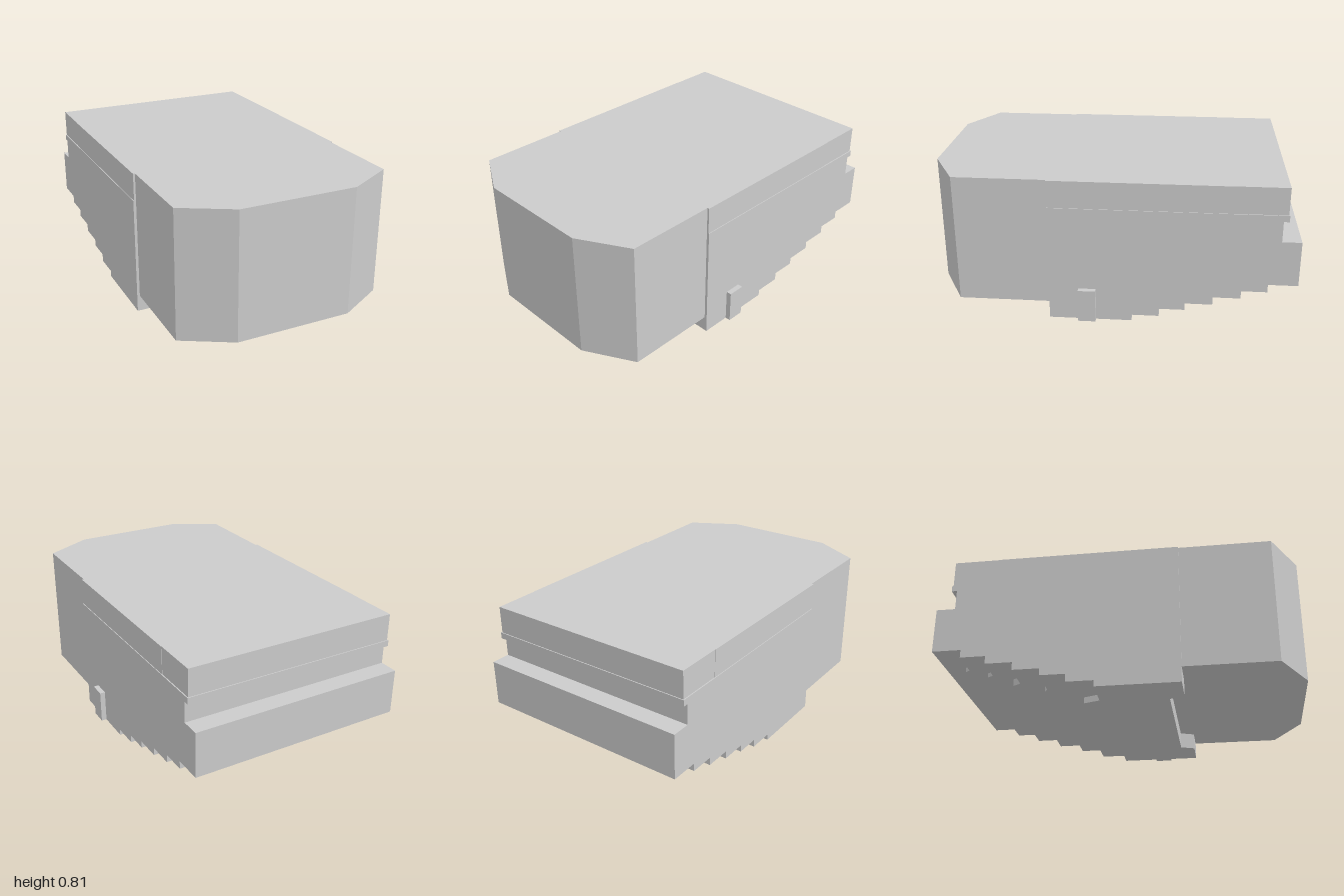
import * as THREE from 'three';

const material = new THREE.MeshStandardMaterial({ color: 0xcccccc, flatShading: true });

export function createModel() {
  const group = new THREE.Group();
  const LEFT = 0.6, RIGHT = -0.63;

  const add = (name, geometry) => {
    const mesh = new THREE.Mesh(geometry, material);
    mesh.name = name;
    group.add(mesh);
    return mesh;
  };
  const outline = (points) => new THREE.Shape(points.map(([a, b]) => new THREE.Vector2(a, b)));

  // Floor-plan outline [x, z] raised from y0 to y1
  const plate = (name, points, y0, y1) => {
    const g = new THREE.ExtrudeGeometry(outline(points.map(([x, z]) => [x, -z])), { depth: y1 - y0, bevelEnabled: false });
    g.rotateX(-Math.PI / 2).translate(0, y0, 0);
    return add(name, g);
  };
  // Side outline [z, y] run across the width
  const profile = (name, points, x0, x1) => {
    const g = new THREE.ExtrudeGeometry(outline(points), { depth: x1 - x0, bevelEnabled: false });
    g.rotateY(-Math.PI / 2).translate(x1, 0, 0);
    return add(name, g);
  };
  const box = (name, x0, x1, y0, y1, z0, z1) => {
    const g = new THREE.BoxGeometry(x1 - x0, y1 - y0, z1 - z0);
    g.translate((x0 + x1) / 2, (y0 + y1) / 2, (z0 + z1) / 2);
    return add(name, g);
  };

  // Front block with cut corners
  plate('frontBlock', [
    [-0.615, 0.2], [-0.615, 0.85], [-0.345, 1], [0.31, 1], [0.585, 0.85], [0.585, 0.2],
  ], 0.092, 0.812);

  // Main body with the rear ledge and groove
  profile('mainBody', [
    [0.345, 0.255], [0.345, 0.66], [-0.925, 0.66], [-0.925, 0.625],
    [-0.895, 0.625], [-0.895, 0.51], [-1, 0.51], [-1, 0.255],
  ], RIGHT, LEFT);

  // Slightly inset upper band, split by a shallow upright seam
  box('upperBand', RIGHT + 0.004, LEFT - 0.004, 0.66, 0.812, -0.66, 0.345);
  box('upperRearBand', RIGHT + 0.006, LEFT - 0.006, 0.66, 0.812, -0.92, -0.66);

  // Stepped underside: [bottom, top, rear z, tongue rear z, tongue bottom]
  const steps = [
    [0, 0.035, -0.11, -0.2, 0],
    [0.035, 0.08, -0.26, -0.26, 0.035],
    [0.08, 0.12, -0.4, -0.42, 0.08],
    [0.12, 0.165, -0.55, -0.6, 0.125],
    [0.165, 0.21, -0.7, -0.75, 0.185],
    [0.21, 0.255, -0.84, -0.88, 0.225],
  ];
  steps.forEach(([y0, y1, rear, tongueRear, tongueBottom], i) => {
    // The lowest steps have a recessed front edge
    const recess = i < 3 ? [[-0.44, 0.345], [-0.41, 0.265], [0.38, 0.265], [0.41, 0.345]] : [];
    plate('step' + (i + 1), [
      [RIGHT, rear], [RIGHT, 0.345], ...recess, [LEFT, 0.345], [LEFT, rear],
    ], y0, y1);
    if (tongueRear < rear) {
      plate('stepTongue' + (i + 1), [
        [-0.44, rear], [0.41, rear], [0.38, tongueRear], [-0.41, tongueRear],
      ], tongueBottom, y1);
    }
  });

  // Small block on the left side
  box('sideBlock', LEFT - 0.01, 0.63, 0, 0.187, 0.087, 0.183);

  return group;
}
